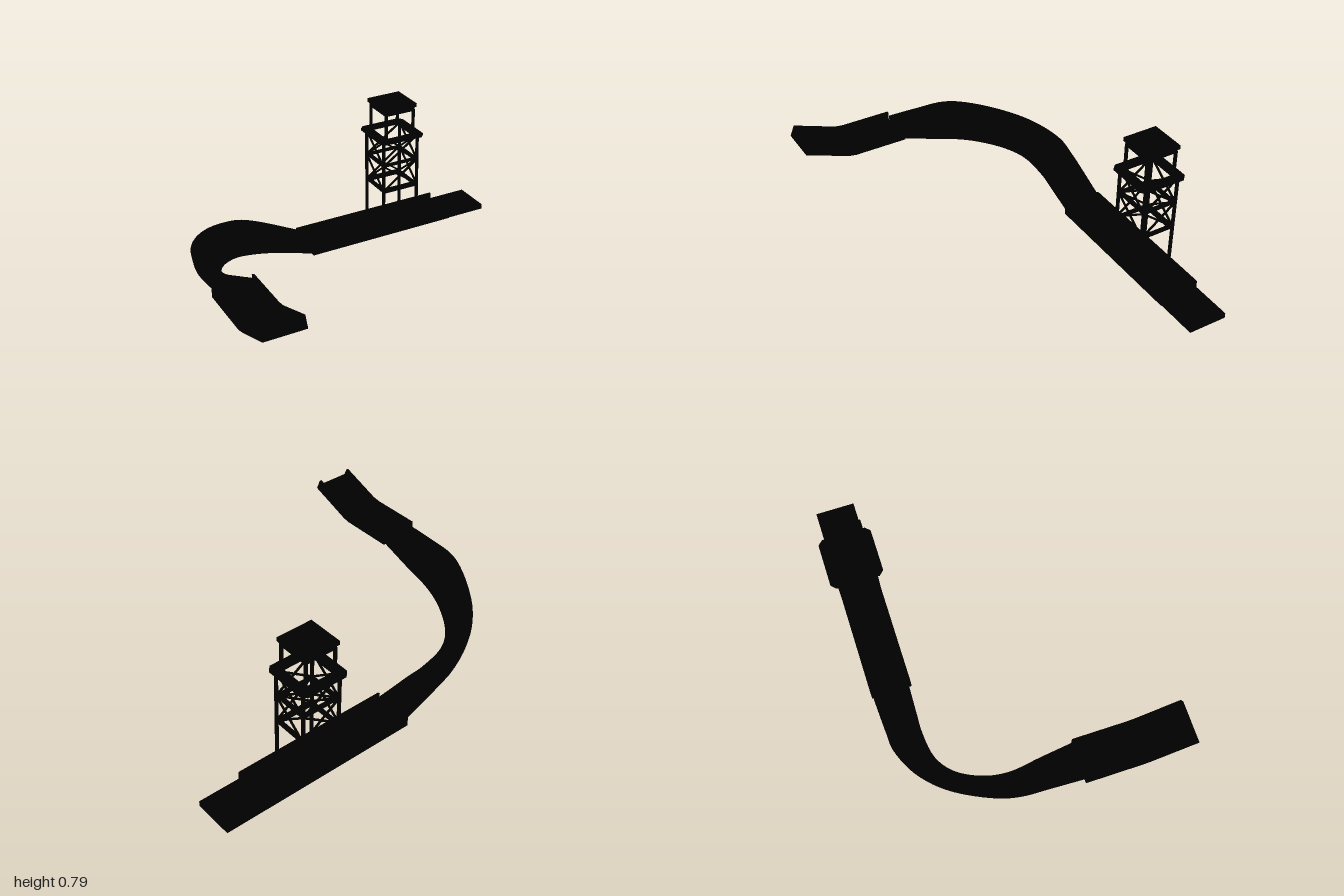
import * as THREE from 'three';

const black = new THREE.MeshStandardMaterial({ color: 0x000000, side: THREE.DoubleSide });
black.name = 'black';

function add(parent, name, geometry, x = 0, y = 0, z = 0) {
  const mesh = new THREE.Mesh(geometry, black);
  mesh.name = name;
  mesh.position.set(x, y, z);
  parent.add(mesh);
  return mesh;
}

// box given by its limits on each axis
function block(parent, name, x0, x1, y0, y1, z0, z1) {
  return add(parent, name, new THREE.BoxGeometry(x1 - x0, y1 - y0, z1 - z0),
    (x0 + x1) / 2, (y0 + y1) / 2, (z0 + z1) / 2);
}

// square bar between two points
function bar(parent, name, a, b, t) {
  const mesh = add(parent, name, new THREE.BoxGeometry(t, a.distanceTo(b), t));
  mesh.position.copy(a).add(b).multiplyScalar(0.5);
  mesh.quaternion.setFromUnitVectors(new THREE.Vector3(0, 1, 0), b.clone().sub(a).normalize());
}

// side outline (z, y) extruded across x, from x0 to x1
function sideExtrude(parent, name, points, x0, x1) {
  const shape = new THREE.Shape(points.map(p => new THREE.Vector2(p[0], p[1])));
  const geo = new THREE.ExtrudeGeometry(shape, { depth: x1 - x0, bevelEnabled: false });
  geo.rotateY(-Math.PI / 2);
  add(parent, name, geo, x1, 0, 0);
}

// raised start channel, level and then tilting up at its open end
function startChannel() {
  const g = new THREE.Group();
  g.name = 'startChannel';
  const under = [[0.165, 0.365], [0.467, 0.365], [0.508, 0.372], [0.754, 0.462]];
  const rim = [[0.73, 0.522], [0.495, 0.437], [0.45, 0.43], [0.165, 0.43]];
  const floor = [[0.747, 0.482], [0.503, 0.393], [0.463, 0.386], [0.165, 0.386]];
  sideExtrude(g, 'startFloor', [...under, ...floor], -1, -0.78);
  sideExtrude(g, 'startWallRight', [...under, ...rim], -1, -0.988);
  sideExtrude(g, 'startWallLeft', [...under, ...rim], -0.792, -0.78);
  return g;
}

// banked bend: a trough whose floor tilts and outer wall grows towards the middle,
// swept between a high outer rim and a low inner edge
function bankedCurve() {
  const v = (x, y, z) => new THREE.Vector3(x, y, z);
  const outer = new THREE.CatmullRomCurve3([
    v(-0.985, 0.41, 0.165), v(-0.978, 0.41, 0), v(-0.965, 0.407, -0.18), v(-0.92, 0.384, -0.31),
    v(-0.8, 0.325, -0.508), v(-0.666, 0.28, -0.63), v(-0.505, 0.235, -0.7),
    v(-0.4, 0.195, -0.709), v(-0.135, 0.06, -0.722)]);
  const inner = new THREE.CatmullRomCurve3([
    v(-0.793, 0.365, 0.165), v(-0.798, 0.302, 0), v(-0.805, 0.238, -0.17), v(-0.773, 0.194, -0.3),
    v(-0.69, 0.148, -0.435), v(-0.586, 0.12, -0.505), v(-0.425, 0.084, -0.528),
    v(-0.34, 0.062, -0.526), v(-0.135, 0.006, -0.518)]);
  const rows = 40, cols = 12, thick = 0.012, ring = 2 * (cols + 1);
  const pos = [], index = [];
  for (let i = 0; i <= rows; i++) {
    const o = outer.getPoint(i / rows), n = inner.getPoint(i / rows);
    const end = Math.pow(2 * i / rows - 1, 2);
    const tilt = 0.4 * (1 - end);
    for (let k = 0; k < ring; k++) {
      const top = k > cols;
      const u = Math.pow((top ? ring - 1 - k : k) / cols, 2);
      const rise = tilt * (1 - u) + (1 - tilt) * Math.pow(1 - u, 11 + 7 * end);
      const lip = 0.035 * end * Math.pow(u, 30);
      const y = n.y + (o.y - thick - n.y) * rise + (top ? thick + lip : 0);
      pos.push(o.x + (n.x - o.x) * u, y, o.z + (n.z - o.z) * u);
    }
  }
  for (let i = 0; i < rows; i++) {
    for (let k = 0; k < ring; k++) {
      const a = i * ring + k, b = i * ring + (k + 1) % ring;
      index.push(a, a + ring, b, b, a + ring, b + ring);
    }
  }
  // end caps
  for (const s of [0, rows * ring]) {
    for (let k = 0; k < cols; k++) {
      const a = s + k, b = s + k + 1, c = s + ring - 2 - k, d = s + ring - 1 - k;
      if (s) index.push(a, c, b, a, d, c);
      else index.push(a, b, c, a, c, d);
    }
  }
  const geo = new THREE.BufferGeometry();
  geo.setAttribute('position', new THREE.Float32BufferAttribute(pos, 3));
  geo.setIndex(index);
  geo.computeVertexNormals();
  const g = new THREE.Group();
  g.name = 'bankedCurve';
  add(g, 'curvedTrough', geo);
  return g;
}

// level run-out with side walls that stop short of the far end
function runOut() {
  const g = new THREE.Group();
  g.name = 'runOut';
  block(g, 'runOutFloor', -0.14, 1, 0, 0.03, -0.728, -0.508);
  block(g, 'backWall', -0.14, 0.765, 0, 0.07, -0.728, -0.716);
  block(g, 'frontWall', -0.14, 0.765, 0, 0.07, -0.516, -0.504);
  return g;
}

// braced lookout tower straddling the run-out
function tower() {
  const g = new THREE.Group();
  g.name = 'tower';
  g.position.set(0.431, 0, -0.617);
  const hx = 0.109, hz = 0.099;
  const corners = [[1, 1], [1, -1], [-1, -1], [-1, 1]];

  corners.forEach(([sx, sz], i) => {
    const [nx, nz] = corners[(i + 1) % 4];
    block(g, 'leg', sx * hx - 0.007, sx * hx + 0.007, 0, 0.595, sz * hz - 0.007, sz * hz + 0.007);
    block(g, 'cabinPost', sx * 0.087 - 0.007, sx * 0.087 + 0.007, 0.59, 0.75,
      sz * 0.087 - 0.007, sz * 0.087 + 0.007);
    // crossed braces on each face, two tiers
    for (const [lo, hi] of [[0.283, 0.44], [0.44, 0.592]]) {
      const p = (x, y, z) => new THREE.Vector3(x * hx, y, z * hz);
      bar(g, 'crossBrace', p(sx, lo, sz), p(nx, hi, nz), 0.009);
      bar(g, 'crossBrace', p(sx, hi, sz), p(nx, lo, nz), 0.009);
    }
  });

  // flat horizontal ties
  for (const [y, across] of [[0.281, 0.02], [0.441, 0.01]]) {
    for (const s of [-1, 1]) {
      const z = s * (hz - 0.007), x = s * (hx - 0.007);
      block(g, 'tieAcross', -hx, hx, y - across / 2, y + across / 2, z - 0.012, z + 0.012);
      block(g, 'tieAlong', x - 0.012, x + 0.012, y - 0.005, y + 0.005, -hz, hz);
    }
  }

  // walkway: a square ring with clipped corners
  const w = 0.139, c = 0.025;
  const deck = new THREE.Shape();
  [[w, w - c], [w - c, w], [c - w, w], [-w, w - c], [-w, c - w], [c - w, -w], [w - c, -w], [w, c - w]]
    .forEach(([x, y], i) => (i ? deck.lineTo(x, y) : deck.moveTo(x, y)));
  const hole = new THREE.Path();
  const h = 0.08;
  hole.moveTo(-h, -h).lineTo(-h, h).lineTo(h, h).lineTo(h, -h).closePath();
  deck.holes.push(hole);
  const deckGeo = new THREE.ExtrudeGeometry(deck, { depth: 0.009, bevelEnabled: false });
  deckGeo.rotateX(-Math.PI / 2);
  add(g, 'walkway', deckGeo, 0, 0.591, 0);

  // stepped flat roof
  block(g, 'roofFrame', -0.092, 0.092, 0.74, 0.765, -0.092, 0.092);
  block(g, 'roof', -0.102, 0.102, 0.764, 0.786, -0.1, 0.1);
  return g;
}

export function createModel() {
  const model = new THREE.Group();
  model.name = 'slideTrackWithTower';
  model.add(startChannel(), bankedCurve(), runOut(), tower());
  return model;
}
